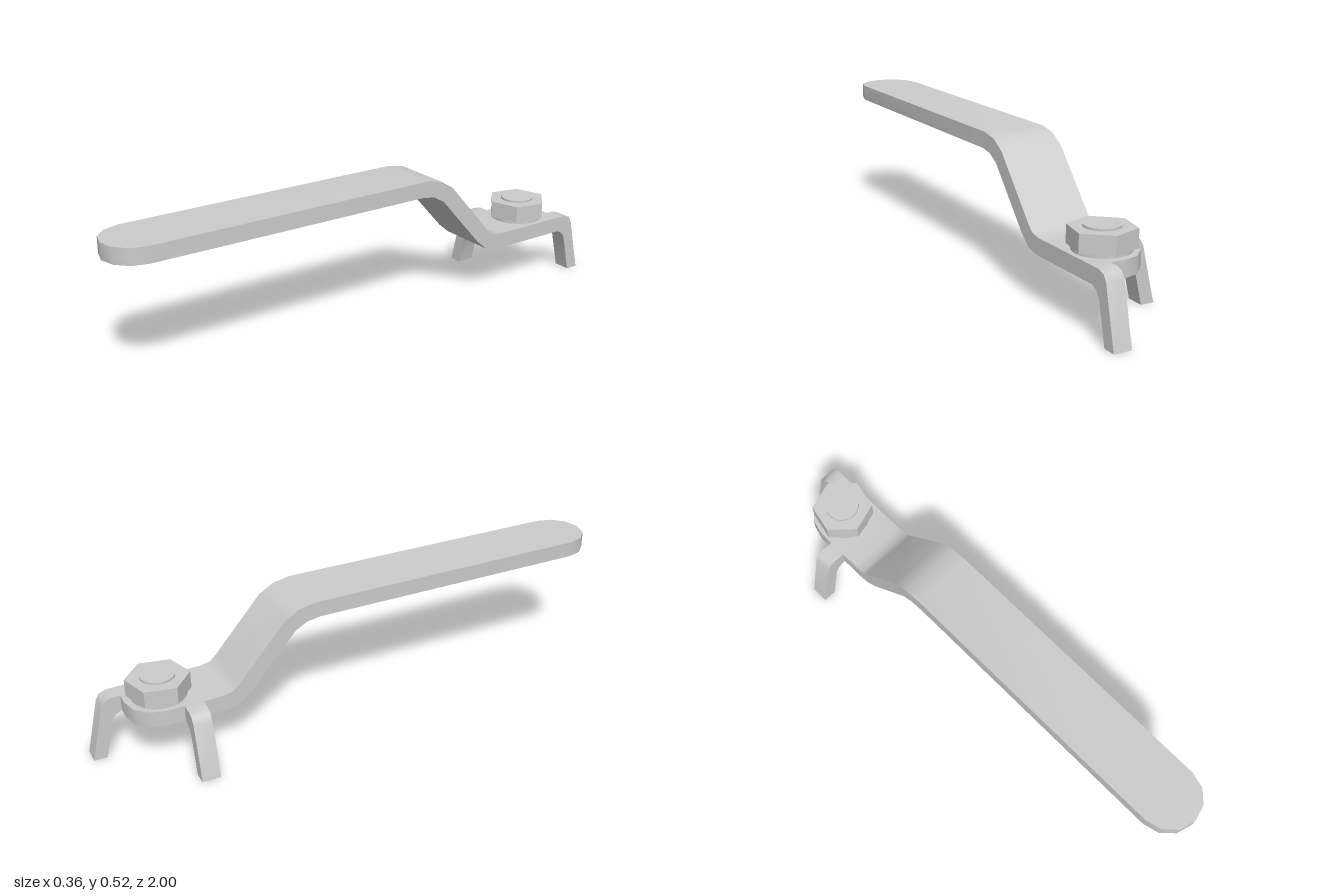
import * as THREE from 'three';
import { toCreasedNormals } from 'three/addons/utils/BufferGeometryUtils.js';

const CREASE = 0.75;
const X0 = -0.052, X1 = 0.178, XC = 0.063, R = 0.115; // strip edges, middle, half width
const TOP = 0.517, LOW = 0.237, T = 0.059;            // upper and lower levels, thickness

// Bent strip lofted from rectangular sections, front tip to pivot end
function stripGeometry() {
  const s = []; // [zTop, yTop, zBottom, yBottom, xLeft, xRight]
  const flat = (z, y, a, b) => s.push([z, y, z, y - T, a, b]);
  for (let i = 3; i >= 0; i--) { // rounded grip end
    const a = i * Math.PI / 6, w = R * Math.cos(a);
    flat(0.885 + R * Math.sin(a), TOP, XC - w, XC + w);
  }
  // crank between the two levels
  for (const [zt, yt, zb, yb] of [
    [-0.2, TOP, -0.185, TOP - T], [-0.265, 0.505, -0.235, 0.45], [-0.32, 0.472, -0.28, 0.425],
    [-0.5, 0.268, -0.455, 0.228], [-0.525, 0.245, -0.5, 0.19], [-0.565, LOW, -0.55, LOW - T],
  ]) s.push([zt, yt, zb, yb, X0, X1]);
  flat(-0.70, LOW, X0, X1);
  for (let i = 0; i <= 3; i++) { // pivot end, rounded on one side only
    const a = i * Math.PI / 6;
    flat(-0.765 - R * Math.sin(a), LOW, XC - R * Math.cos(a), X1);
  }
  const pos = [], idx = [];
  for (const [zt, yt, zb, yb, a, b] of s) pos.push(a, yt, zt, b, yt, zt, b, yb, zb, a, yb, zb);
  for (let i = 0; i < s.length - 1; i++) {
    for (let j = 0; j < 4; j++) {
      const a = i * 4 + j, b = i * 4 + (j + 1) % 4, c = b + 4, d = a + 4;
      idx.push(a, b, c, a, c, d);
    }
  }
  const e = (s.length - 1) * 4;
  idx.push(e, e + 1, e + 2, e, e + 2, e + 3);
  const g = new THREE.BufferGeometry();
  g.setAttribute('position', new THREE.Float32BufferAttribute(pos, 3));
  g.setIndex(idx);
  return toCreasedNormals(g, CREASE);
}

// Bent-down stop leg: x = distance from the tip's outer edge
function legGeometry(root, width) {
  const pts = [
    [0, 0], [0.049, 0], [0.083, 0.145], [0.098, 0.167], [root, LOW - T],
    [root, LOW], [0.088, LOW], [0.061, 0.227], [0.048, 0.205],
  ].map(([x, y]) => new THREE.Vector2(x, y));
  const g = new THREE.ExtrudeGeometry(new THREE.Shape(pts), { depth: width, bevelEnabled: false });
  return toCreasedNormals(g, CREASE);
}

export function createModel() {
  const group = new THREE.Group();
  const material = new THREE.MeshStandardMaterial({ color: 0xcccccc });
  const add = (name, geometry, x = 0, y = 0, z = 0, parent = group) => {
    const mesh = new THREE.Mesh(geometry, material);
    mesh.name = name;
    mesh.position.set(x, y, z);
    parent.add(mesh);
    return mesh;
  };

  add('leverStrip', stripGeometry());
  add('sideStopLeg', legGeometry(0.129, 0.068), -0.181, 0, -0.703);
  add('backStopLeg', legGeometry(0.12, 0.065).rotateY(-Math.PI / 2), X1, 0, -1);

  // Hex nut with a washer face below and the stud end above
  const nut = new THREE.Group();
  nut.name = 'pivotNut';
  nut.position.set(XC, LOW, -0.756);
  group.add(nut);
  add('washerFace', new THREE.CylinderGeometry(0.098, 0.098, 0.014, 32), 0, 0.006, 0, nut);
  const hex = new THREE.CylinderGeometry(0.114, 0.114, 0.064, 6).toNonIndexed();
  hex.computeVertexNormals();
  hex.rotateY(-12 * Math.PI / 180);
  add('hexNut', hex, 0, 0.043, 0, nut);
  add('studEnd', new THREE.CylinderGeometry(0.062, 0.062, 0.02, 32), 0, 0.073, 0, nut);
  return group;
}
